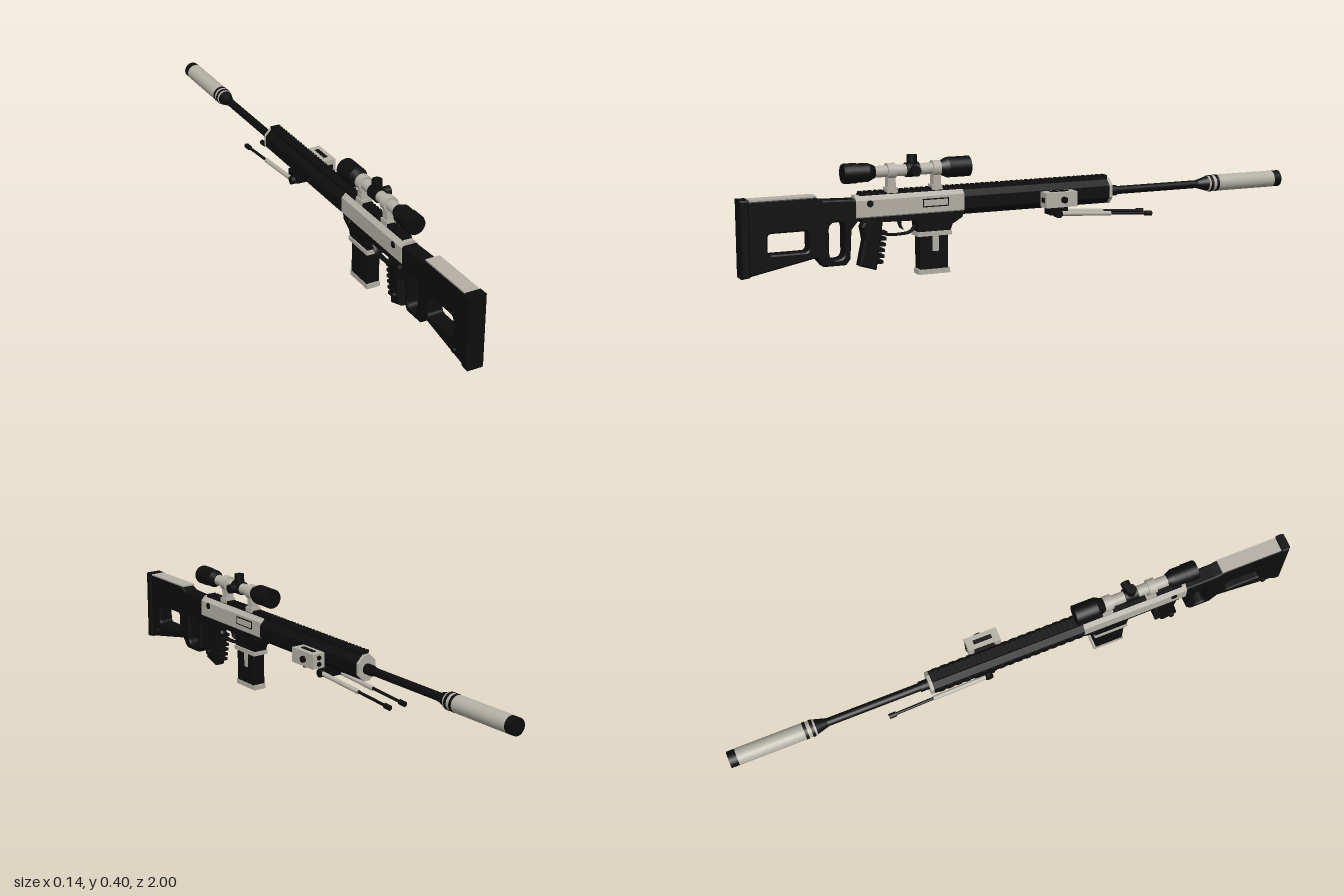
import * as THREE from 'three';

export function createModel() {
  const root = new THREE.Group();
  const body = new THREE.Group();
  body.name = 'rifle';
  body.position.x = -0.031;
  root.add(body);

  const mat = (name, color) => Object.assign(new THREE.MeshStandardMaterial({ color }), { name });
  const black = mat('black', 0x0d0d0d);
  const light = mat('warmGrey', 0xb4b0a6);

  const add = (name, geo, m, x = 0, y = 0, z = 0) => {
    const mesh = new THREE.Mesh(geo, m);
    mesh.name = name;
    mesh.position.set(x, y, z);
    body.add(mesh);
    return mesh;
  };
  // Box given by its width and its y and z ranges
  const box = (name, m, w, y0, y1, z0, z1, x = 0) =>
    add(name, new THREE.BoxGeometry(w, y1 - y0, Math.abs(z1 - z0)), m, x, (y0 + y1) / 2, (z0 + z1) / 2);
  // Round part along z
  const rod = (name, m, y, z0, z1, r0, r1 = r0, x = 0) =>
    add(name, new THREE.CylinderGeometry(r1, r0, z1 - z0, 28).rotateX(Math.PI / 2), m, x, y, (z0 + z1) / 2);
  // Round part along x or y
  const knob = (name, m, axis, r, len, x, y, z) => {
    const g = new THREE.CylinderGeometry(r, r, len, 20);
    if (axis === 'x') g.rotateZ(Math.PI / 2);
    return add(name, g, m, x, y, z);
  };
  // Round part between two points
  const strut = (name, m, a, b, r) => {
    const d = b.clone().sub(a), mid = a.clone().add(b).multiplyScalar(0.5);
    const mesh = add(name, new THREE.CylinderGeometry(r, r, d.length(), 14), m, mid.x, mid.y, mid.z);
    mesh.quaternion.setFromUnitVectors(new THREE.Vector3(0, 1, 0), d.normalize());
    return mesh;
  };
  // Side outline of [z, y] points with optional holes, extruded across x
  const toV = (pts) => pts.map(([z, y]) => new THREE.Vector2(-z, y));
  const side = (name, m, w, pts, holes = [], bevel = 0) => {
    const s = new THREE.Shape(toV(pts));
    holes.forEach((h) => s.holes.push(h));
    const g = new THREE.ExtrudeGeometry(s, {
      depth: w - 2 * bevel, bevelEnabled: bevel > 0, bevelSize: bevel, bevelThickness: bevel,
      bevelOffset: -bevel, bevelSegments: 1, curveSegments: 10,
    });
    g.translate(0, 0, -(w / 2 - bevel)).rotateY(Math.PI / 2);
    return add(name, g, m);
  };
  // Rounded opening in a side outline
  const slot = (z, y, w, h, r) => {
    const p = new THREE.Path(), x0 = -z - w / 2, x1 = -z + w / 2, y0 = y - h / 2, y1 = y + h / 2;
    p.moveTo(x0 + r, y0).lineTo(x1 - r, y0).quadraticCurveTo(x1, y0, x1, y0 + r);
    p.lineTo(x1, y1 - r).quadraticCurveTo(x1, y1, x1 - r, y1);
    p.lineTo(x0 + r, y1).quadraticCurveTo(x0, y1, x0, y1 - r);
    p.lineTo(x0, y0 + r).quadraticCurveTo(x0, y0, x0 + r, y0);
    return p;
  };
  // Chamfered cross-section extruded along z
  const beam = (name, m, w, y0, y1, c, cb, z0, z1) => {
    const h = w / 2;
    const s = new THREE.Shape([[-h + cb, y0], [h - cb, y0], [h, y0 + cb], [h, y1 - c], [h - c, y1],
      [-h + c, y1], [-h, y1 - c], [-h, y0 + cb]].map(([x, y]) => new THREE.Vector2(x, y)));
    return add(name, new THREE.ExtrudeGeometry(s, { depth: z1 - z0, bevelEnabled: false }), m, 0, 0, z0);
  };

  // Stock with two openings, butt pad and cheek plate
  side('stock', black, 0.054, [[0.975, 0.045], [0.975, 0.286], [0.76, 0.286], [0.73, 0.272], [0.615, 0.268],
    [0.61, 0.2], [0.635, 0.17], [0.64, 0.075], [0.655, 0.057], [0.73, 0.057], [0.755, 0.088]],
  [slot(0.845, 0.144, 0.135, 0.068, 0.015), slot(0.685, 0.138, 0.052, 0.122, 0.024)], 0.005);
  side('buttPad', black, 0.062, [[1, 0.04], [1, 0.29], [0.97, 0.29], [0.97, 0.044]], [], 0.005);
  box('cheekPlate', light, 0.05, 0.284, 0.289, 0.75, 0.968);
  for (const s of [-1, 1]) knob('stockStud', black, 'x', 0.008, 0.012, s * 0.029, 0.075, 0.93);

  // Receiver
  beam('upperReceiver', light, 0.06, 0.206, 0.279, 0.016, 0.004, 0.245, 0.62);
  side('lowerReceiver', black, 0.05, [[0.6, 0.207], [0.245, 0.207], [0.25, 0.185], [0.285, 0.165], [0.295, 0.138],
    [0.405, 0.138], [0.412, 0.185], [0.6, 0.19]]);
  box('ejectionFrame', black, 0.003, 0.227, 0.255, 0.3, 0.392, 0.03);
  box('ejectionCover', light, 0.004, 0.231, 0.251, 0.304, 0.388, 0.031);
  for (const s of [-1, 1]) {
    knob('receiverPin', black, 'x', 0.011, 0.006, s * 0.03, 0.252, 0.573);
    knob('takedownPin', black, 'x', 0.009, 0.01, s * 0.026, 0.19, 0.285);
  }

  // Handguard with side ribs and light end ring
  beam('handguard', black, 0.068, 0.192, 0.276, 0.022, 0.022, -0.295, 0.245);
  for (let i = 0; i < 17; i++) {
    for (const s of [-1, 1]) box('handguardRib', black, 0.005, 0.218, 0.25, 0.218 - i * 0.031, 0.236 - i * 0.031, s * 0.035);
  }
  beam('handguardRing', light, 0.07, 0.19, 0.278, 0.024, 0.024, -0.305, -0.294);

  // Top rail with teeth
  box('topRail', black, 0.032, 0.274, 0.283, -0.292, 0.605);
  for (let i = 0; i < 50; i++) box('railTooth', black, 0.034, 0.282, 0.289, 0.59 - i * 0.018, 0.6 - i * 0.018);

  // Barrel and suppressor
  const by = 0.231;
  rod('barrel', black, by, -0.72, -0.29, 0.014);
  rod('barrelCollar', black, by, -0.335, -0.3, 0.018);
  rod('suppressorCone', black, by, -0.7, -0.66, 0.026, 0.015);
  rod('suppressorNeck', light, by, -0.745, -0.7, 0.028);
  for (const z of [-0.712, -0.735]) rod('suppressorBand', black, by, z - 0.005, z + 0.005, 0.0295);
  rod('suppressor', light, by, -0.972, -0.742, 0.029);
  rod('suppressorCap', black, by, -1, -0.97, 0.0285);

  // Pistol grip with finger ridges
  side('pistolGrip', black, 0.044, [[0.585, 0.2], [0.525, 0.2], [0.53, 0.155], [0.55, 0.03], [0.608, 0.048],
    [0.59, 0.13], [0.598, 0.175]], [], 0.006);
  for (let i = 0; i < 6; i++) box('gripRidge', black, 0.036, 0.05 + i * 0.019, 0.06 + i * 0.019, 0.526 - i * 0.003, 0.556 - i * 0.003);

  // Trigger and guard
  const guard = new THREE.CatmullRomCurve3([[0.535, 0.165], [0.515, 0.145], [0.46, 0.14], [0.425, 0.146], [0.408, 0.165]]
    .map(([z, y]) => new THREE.Vector3(0, y, z)));
  add('triggerGuard', new THREE.TubeGeometry(guard, 24, 0.005, 8), black).scale.x = 2;
  side('trigger', black, 0.01, [[0.475, 0.195], [0.455, 0.195], [0.458, 0.17], [0.448, 0.152], [0.462, 0.16]]);

  // Magazine
  box('magazineCollar', light, 0.058, 0.13, 0.145, 0.29, 0.41);
  box('magazine', black, 0.046, 0.015, 0.135, 0.302, 0.4);
  box('magazineBase', light, 0.048, 0.002, 0.019, 0.295, 0.405);
  box('magazineStrip', light, 0.004, 0.078, 0.131, 0.335, 0.357, 0.0225);
  for (const s of [-1, 1]) knob('magazineCatch', black, 'x', 0.008, 0.012, s * 0.03, 0.076, 0.58);

  // Scope
  const sy = 0.35;
  rod('scopeTube', light, sy, 0.3, 0.57, 0.019);
  rod('eyepiece', black, sy, 0.57, 0.655, 0.031);
  rod('eyepieceTaper', black, sy, 0.548, 0.57, 0.021, 0.03);
  rod('objective', black, sy, 0.217, 0.295, 0.034);
  rod('objectiveTaper', black, sy, 0.295, 0.325, 0.034, 0.021);
  rod('eyepieceRim', black, sy, 0.61, 0.65, 0.033);
  rod('turretHub', black, sy, 0.395, 0.44, 0.024);
  knob('topTurret', black, 'y', 0.017, 0.032, 0, 0.383, 0.417);
  knob('sideTurret', black, 'x', 0.016, 0.032, 0.029, sy, 0.417);
  for (const z of [0.335, 0.492]) {
    rod('scopeRing', light, sy, z - 0.014, z + 0.014, 0.026);
    box('scopeMount', light, 0.03, 0.293, 0.335, z - 0.013, z + 0.013);
    box('mountClamp', light, 0.038, 0.28, 0.297, z - 0.018, z + 0.018);
  }

  // Side sight module on the +x side
  box('moduleBracket', black, 0.02, 0.207, 0.254, -0.12, -0.05, 0.037);
  box('sightModule', light, 0.048, 0.203, 0.254, -0.14, -0.025, 0.07);
  box('moduleRearPanel', black, 0.024, 0.22, 0.236, -0.03, -0.023, 0.071);
  box('moduleTopSlot', black, 0.014, 0.25, 0.2565, -0.115, -0.05, 0.07);
  knob('moduleDial', black, 'x', 0.011, 0.012, 0.097, 0.228, -0.09);
  knob('moduleScrew', black, 'y', 0.007, 0.012, 0.081, 0.202, -0.08);
  for (const y of [0.218, 0.24]) rod('moduleLens', black, y, -0.143, -0.138, 0.008, 0.008, 0.07);

  // Folded bipod
  box('bipodMount', black, 0.05, 0.165, 0.196, -0.14, -0.075);
  const V = (x, y, z) => new THREE.Vector3(x, y, z);
  for (const s of [-1, 1]) {
    knob('bipodHinge', black, 'x', 0.014, 0.022, s * 0.028, 0.17, -0.1);
    strut('bipodLeg', light, V(s * 0.03, 0.17, -0.11), V(s * 0.03, 0.157, -0.3), 0.008);
    strut('bipodLegTip', black, V(s * 0.03, 0.158, -0.29), V(s * 0.031, 0.147, -0.45), 0.005);
    strut('bipodFoot', black, V(s * 0.031, 0.148, -0.435), V(s * 0.031, 0.146, -0.46), 0.009);
  }
  return root;
}
